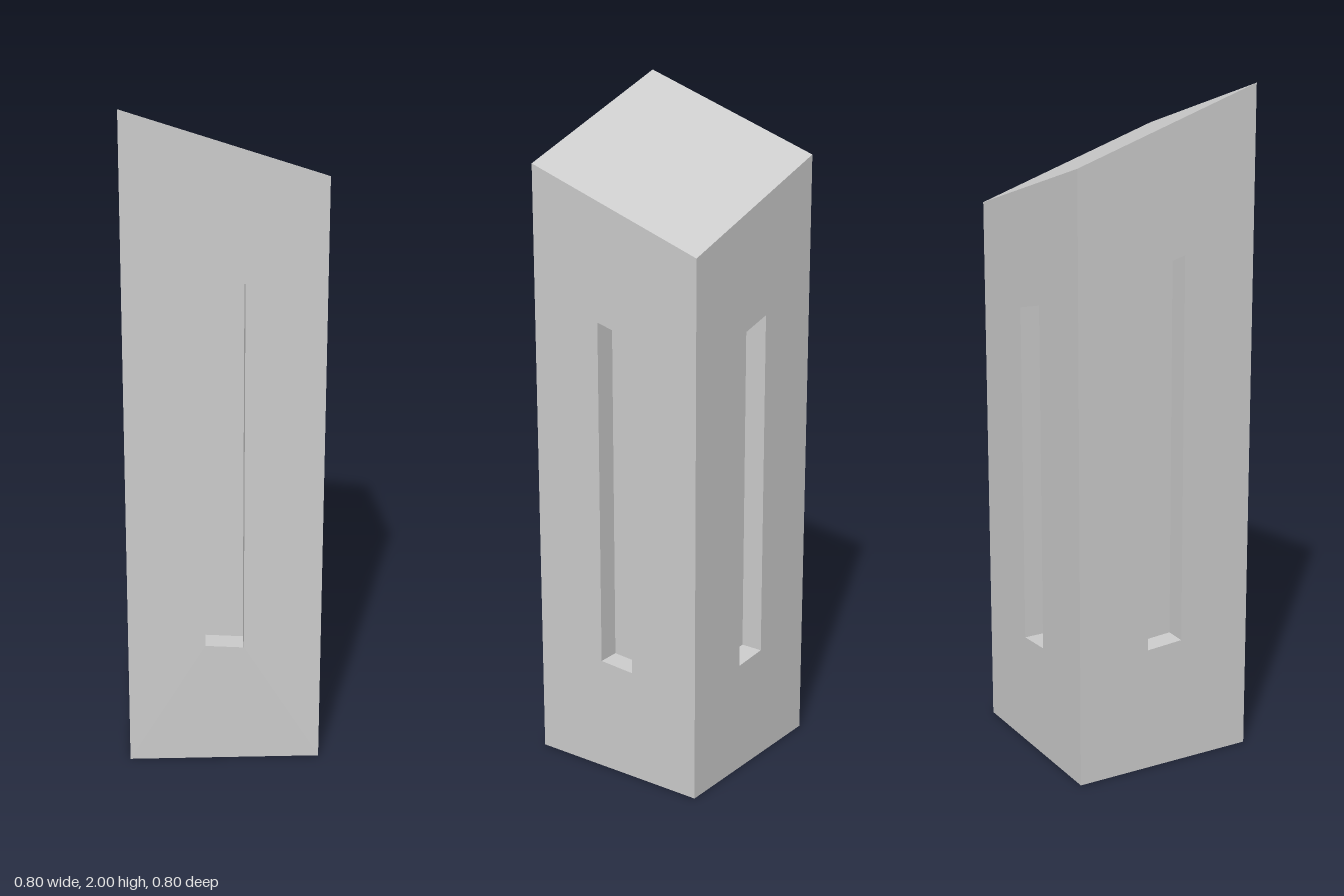
import * as THREE from 'three';

const R = 0.4;       // half diagonal of the square plan
const INSET = 0.047; // slot depth along x and along z
const roofY = (x) => 1.8125 - 0.46875 * x; // sloping roof plane

// Flat-shaded geometry from quads, each given as four counter-clockwise corners
function quadGeometry(quads) {
  const pos = [];
  for (const [a, b, c, d] of quads) for (const p of [a, b, c, a, c, d]) pos.push(...p);
  const g = new THREE.BufferGeometry();
  g.setAttribute('position', new THREE.Float32BufferAttribute(pos, 3));
  g.computeVertexNormals();
  return g;
}

// One wall from plan corner a to b, with a tall recessed slot whose edges follow the roof slope
function wallQuads([ax, az], [bx, bz]) {
  const nx = Math.sign(ax + bx), nz = Math.sign(az + bz);
  const point = (u, v, depth) => {
    const x = ax + (bx - ax) * u, z = az + (bz - az) * u;
    return [x - nx * depth, roofY(x) * v, z - nz * depth];
  };
  const ring = (u0, u1, v0, v1, depth) =>
    [[u0, v0], [u1, v0], [u1, v1], [u0, v1]].map(([u, v]) => point(u, v, depth));
  const outer = ring(0, 1, 0, 1, 0);
  const rim = ring(0.4, 0.6, 0.2, 0.8, 0);
  const back = ring(0.4, 0.6, 0.2, 0.8, INSET);
  const quads = [back];
  for (let i = 0; i < 4; i++) {
    const j = (i + 1) % 4;
    quads.push([outer[i], outer[j], rim[j], rim[i]]); // wall around the slot
    quads.push([rim[i], rim[j], back[j], back[i]]);   // slot sides
  }
  return quads;
}

export function createModel() {
  const group = new THREE.Group();
  group.name = 'slantedPillar';
  const material = new THREE.MeshStandardMaterial({ color: 0xcccccc, flatShading: true });
  const add = (name, quads) => {
    const mesh = new THREE.Mesh(quadGeometry(quads), material);
    mesh.name = name;
    group.add(mesh);
  };

  // Plan corners: front, left (+x), back, right (-x)
  const corners = [[0, R], [R, 0], [0, -R], [-R, 0]];
  const names = ['frontLeftWall', 'backLeftWall', 'backRightWall', 'frontRightWall'];
  names.forEach((name, i) => add(name, wallQuads(corners[i], corners[(i + 1) % 4])));

  // Sloping roof and flat base
  add('slopedRoof', [corners.map(([x, z]) => [x, roofY(x), z])]);
  add('base', [corners.map(([x, z]) => [x, 0, z]).reverse()]);
  return group;
}
